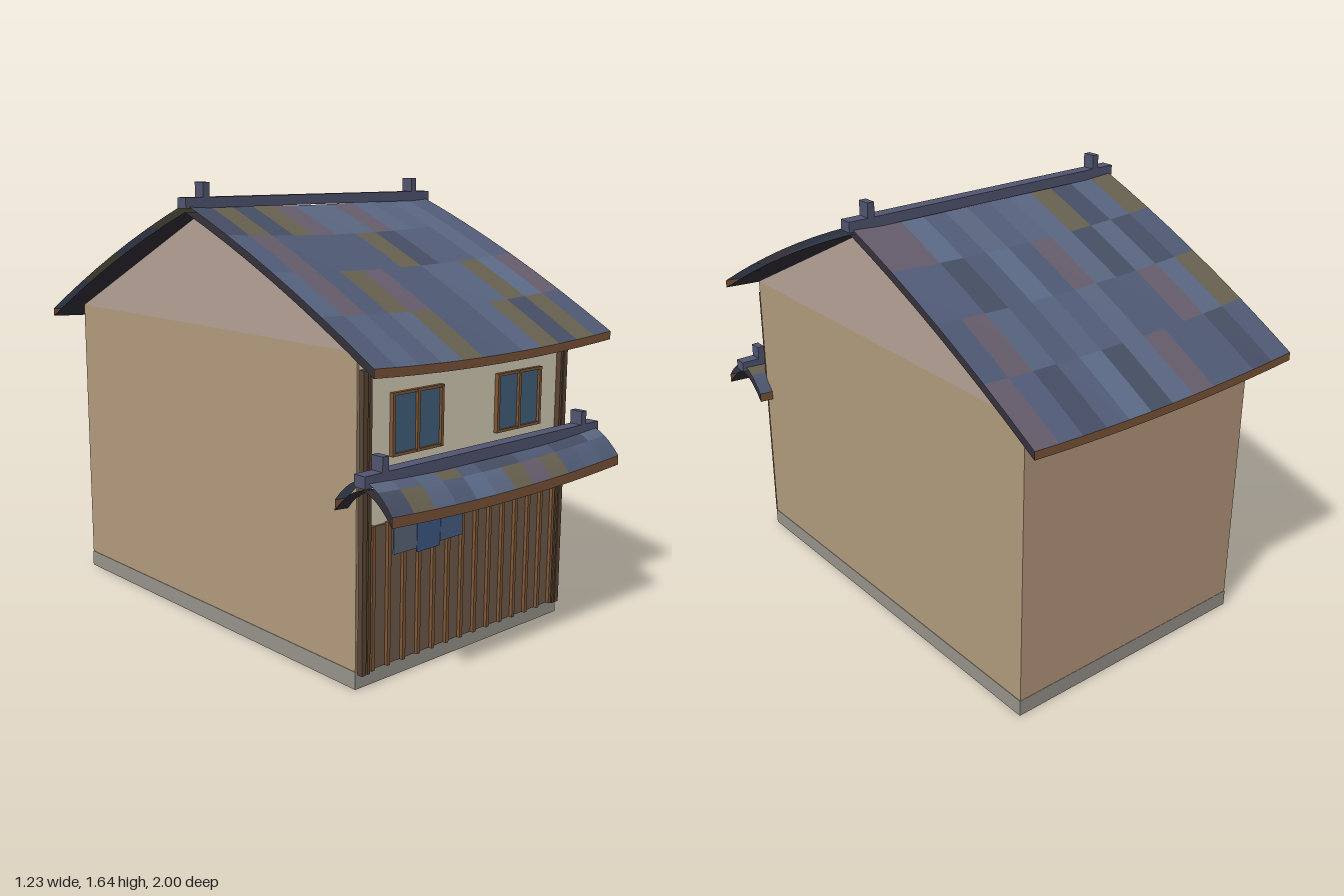
import * as THREE from 'three';
import { toCreasedNormals } from 'three/addons/utils/BufferGeometryUtils.js';

const mat = (color, side = THREE.FrontSide) => new THREE.MeshStandardMaterial({ color, side });
const TRIM = mat(0x7d5636), CREAM = mat(0xd4cdb4), RIDGE = mat(0x50546e);
const WALL = mat(0xb09a7c), BACK = mat(0xb4967a), GABLE = mat(0xb3a094), BASE = mat(0x96928a);
const FLOOR = mat(0x666666), PLANK = mat(0x705a4c), GLASS = mat(0x41617c), POST = mat(0x5a4433);
const EAVE = mat(0x7a5438, THREE.DoubleSide), UNDER = mat(0x2e2b33, THREE.DoubleSide);
const TILES = [0x4e5973, 0x5b6a88, 0x525c78, 0x464e64, 0x596580, 0x4e5973, 0x56627e, 0x655c6b, 0x66604f]
  .map((c) => mat(c, THREE.DoubleSide));

function seeded(seed) {
  return () => (seed = (seed * 16807) % 2147483647) / 2147483647;
}

export function createModel() {
  const house = new THREE.Group();
  house.name = 'house';

  const add = (name, geometry, material, parent = house) => {
    const mesh = new THREE.Mesh(geometry, material);
    mesh.name = name;
    parent.add(mesh);
    return mesh;
  };
  const addGroup = (name) => {
    const group = new THREE.Group();
    group.name = name;
    house.add(group);
    return group;
  };
  // box given by its limits on each axis
  const box = (name, x0, x1, y0, y1, z0, z1, material, parent) => {
    const m = add(name, new THREE.BoxGeometry(x1 - x0, y1 - y0, z1 - z0), material, parent);
    m.position.set((x0 + x1) / 2, (y0 + y1) / 2, (z0 + z1) / 2);
  };

  // base skirt, open below, with the floor recessed at its top
  const base = addGroup('base');
  for (const s of [-1, 1]) {
    box('baseSide', s * 0.5275 - 0.0025, s * 0.5275 + 0.0025, 0, 0.062, -0.873, 0.782, BASE, base);
    const z = s > 0 ? 0.7795 : -0.8705;
    box('baseEnd', -0.525, 0.525, 0, 0.062, z - 0.0025, z + 0.0025, BASE, base);
  }

  // walls and gable
  box('walls', -0.528, 0.528, 0.06, 1.13, -0.872, 0.78, [WALL, WALL, WALL, FLOOR, WALL, BACK]);
  box('frontPlaster', -0.522, 0.522, 0.062, 1.125, 0.778, 0.782, CREAM);
  const triangle = new THREE.Shape([
    new THREE.Vector2(-0.872, 1.13), new THREE.Vector2(0.78, 1.13), new THREE.Vector2(-0.03, 1.54),
  ]);
  const gable = new THREE.ExtrudeGeometry(triangle, { depth: 1.056, bevelEnabled: false });
  gable.rotateY(-Math.PI / 2).translate(0.528, 0, 0);
  add('gable', gable, GABLE);

  // sheet over s = -1 (back) to 1 (front), sagging towards x = 0
  const sheet = (half, rows, profile, sag, drop) => {
    const g = new THREE.PlaneGeometry(2 * half, 2, 12, rows);
    const p = g.attributes.position;
    for (let i = 0; i < p.count; i++) {
      const x = p.getX(i);
      const [z, y] = profile(-p.getY(i));
      p.setXYZ(i, x, y - drop - sag * (1 - (x / half) ** 2), z);
    }
    g.computeVertexNormals();
    return g;
  };

  // roof: tiled top sheet, dark underside, eave strips, ridge bar with end blocks
  const buildRoof = (name, { half, rows, tileRows, profile, sag, thick, ridge, seed }) => {
    const roof = addGroup(name);
    const top = toCreasedNormals(sheet(half, rows, profile, sag, 0), 0.5);
    const rand = seeded(seed);
    const tint = Array.from({ length: 12 * tileRows }, () => Math.floor(rand() * TILES.length));
    for (let r = 0; r < rows; r++) {
      for (let c = 0; c < 12; c++) {
        const tile = Math.floor((r * tileRows) / rows) * 12 + c;
        top.addGroup((r * 12 + c) * 6, 6, tint[tile]);
      }
    }
    add('tiles', top, TILES, roof);
    add('underside', toCreasedNormals(sheet(half, rows, profile, sag, thick), 0.5), UNDER, roof);

    for (const s of [-1, 1]) {
      const [z, y] = profile(s);
      const strip = (t) => [z, y - (thick * (t + 1)) / 2];
      add(s > 0 ? 'frontEave' : 'backEave', sheet(half, 1, strip, sag, 0), EAVE, roof);
    }

    const { x, y0, y1, yTop, z0, z1 } = ridge;
    box('ridgeBar', -x, x, y0, y1, z0, z1, RIDGE, roof);
    for (const s of [-1, 1]) {
      const cx = s * ridge.blockX;
      box('ridgeBlock', cx - 0.014, cx + 0.014, y1 - 0.01, yTop, z0, z1, RIDGE, roof);
    }
  };

  buildRoof('mainRoof', {
    half: 0.6, rows: 16, tileRows: 8, sag: 0.02, thick: 0.03, seed: 71,
    profile: (s) => [-0.035 + 0.965 * s, 1.57 - 0.463 * (0.79 * Math.abs(s) + 0.21 * s * s)],
    ridge: { x: 0.615, y0: 1.554, y1: 1.592, yTop: 1.645, z0: -0.057, z1: -0.007, blockX: 0.525 },
  });
  buildRoof('awning', {
    half: 0.585, rows: 12, tileRows: 4, sag: 0.02, thick: 0.035, seed: 29,
    profile: (s) => [0.87 + 0.13 * s, 0.745 - 0.09 * Math.abs(s) ** 1.8],
    ridge: { x: 0.6, y0: 0.724, y1: 0.765, yTop: 0.815, z0: 0.845, z1: 0.895, blockX: 0.51 },
  });

  // ground floor planks with battens
  box('plankPanel', -0.5, 0.5, 0.055, 0.55, 0.78, 0.79, PLANK);
  const battens = addGroup('battens');
  for (let i = 0; i < 14; i++) {
    const x = -0.468 + i * 0.072;
    box('batten', x - 0.007, x + 0.007, 0.055, 0.555, 0.785, 0.803, TRIM, battens);
  }

  // corner posts
  for (const s of [-1, 1]) {
    for (const [cx, w] of [[0.51, 0.02], [0.488, 0.012]]) {
      box('cornerPost', s * cx - w / 2, s * cx + w / 2, 0.05, 1.075, 0.775, 0.803, POST);
    }
  }

  // upper windows
  for (const cx of [-0.262, 0.258]) {
    const win = addGroup('window');
    box('glass', cx - 0.115, cx + 0.115, 0.78, 0.98, 0.78, 0.788, GLASS, win);
    for (const dx of [-0.115, 0, 0.115]) {
      box('mullion', cx + dx - 0.006, cx + dx + 0.006, 0.772, 0.985, 0.78, 0.798, TRIM, win);
    }
    for (const y of [0.776, 0.98]) {
      box('rail', cx - 0.118, cx + 0.118, y - 0.005, y + 0.005, 0.78, 0.796, TRIM, win);
    }
  }

  // entrance curtain panels
  const curtain = addGroup('curtain');
  [[-0.4, -0.292, 0.45, 0x5a6678], [-0.29, -0.178, 0.435, 0x3d5a85], [-0.176, -0.065, 0.45, 0x475f86]]
    .forEach(([x0, x1, y0, c]) => box('curtainPanel', x0, x1, y0, 0.585, 0.82, 0.825, mat(c), curtain));

  return house;
}
